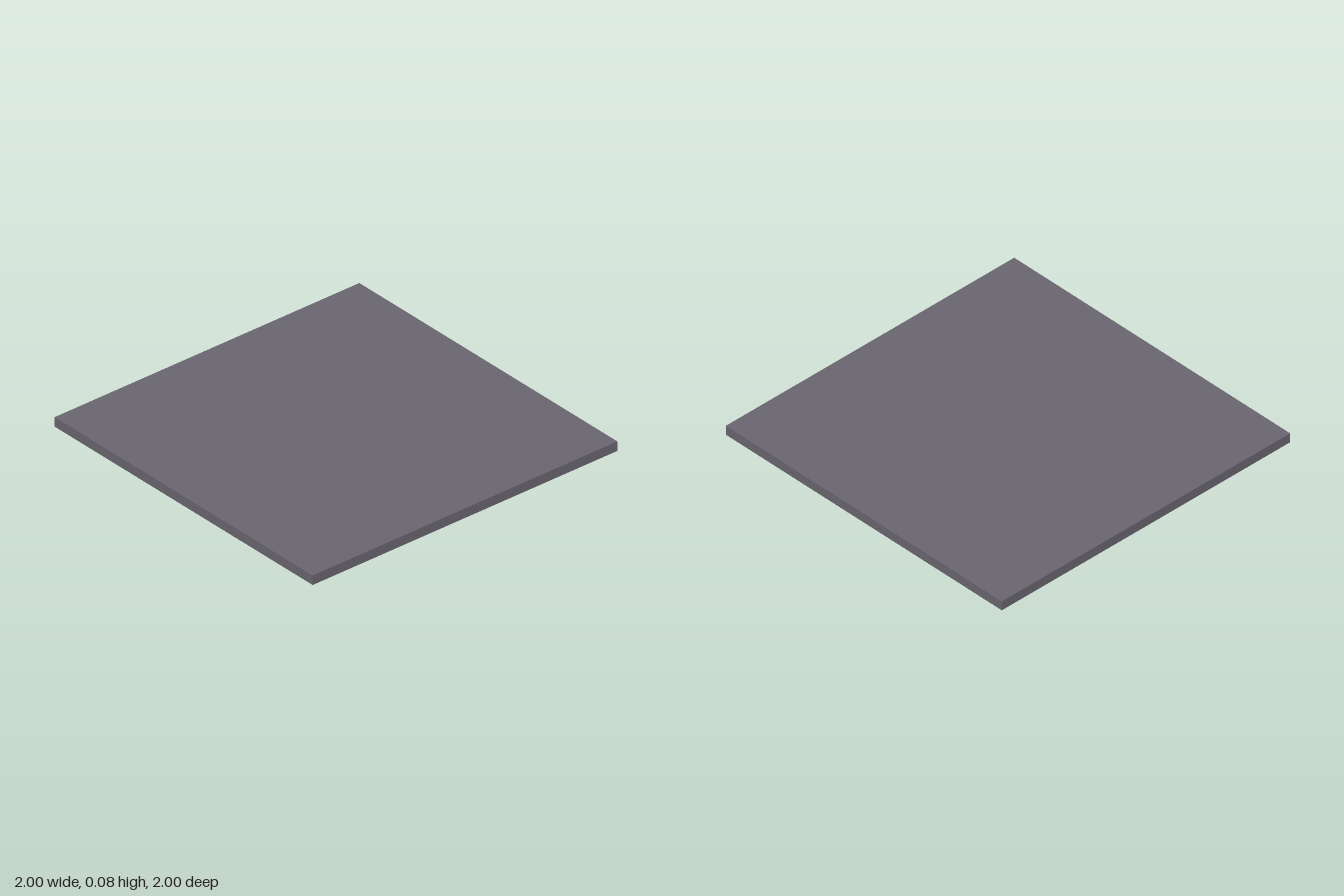
import * as THREE from 'three';

const slabMat = new THREE.MeshStandardMaterial({ color: 0x6b6771 });
const trimMat = new THREE.MeshStandardMaterial({ color: 0x5c5962 });
const lampMat = new THREE.MeshStandardMaterial({ color: 0xa9aba9 });
const BASE = 0.02; // underside of the slab

export function createModel() {
  const root = new THREE.Group();

  const add = (name, geo, mat, parent = root) => {
    const mesh = new THREE.Mesh(geo, mat);
    mesh.name = name;
    parent.add(mesh);
    return mesh;
  };

  // Box given by its extents
  const box = (name, x0, x1, y0, y1, z0, z1, mat, parent) => {
    const geo = new THREE.BoxGeometry(x1 - x0, y1 - y0, z1 - z0);
    geo.translate((x0 + x1) / 2, (y0 + y1) / 2, (z0 + z1) / 2);
    return add(name, geo, mat, parent);
  };

  // Rectangle outline with cut corners, in x and z
  const outline = (P, x0, x1, z0, z1, c = 0) => new P([
    [x0 + c, z0], [x1 - c, z0], [x1, z0 + c], [x1, z1 - c],
    [x1 - c, z1], [x0 + c, z1], [x0, z1 - c], [x0, z0 + c],
  ].map(p => new THREE.Vector2(...p)));

  // Sheet hanging down from the slab
  const sheet = (name, shape, depth, mat, parent) => {
    const geo = new THREE.ExtrudeGeometry(shape, { depth, bevelEnabled: false });
    geo.rotateX(Math.PI / 2).translate(0, BASE, 0);
    return add(name, geo, mat, parent);
  };

  // Lamp: rim with a recessed diffuser
  const lamp = (name, x0, x1, z0, z1, rim, depth, parent) => {
    const g = new THREE.Group();
    g.name = name;
    parent.add(g);
    const shape = outline(THREE.Shape, x0, x1, z0, z1, 0.012);
    shape.holes.push(outline(THREE.Path, x0 + rim, x1 - rim, z0 + rim, z1 - rim));
    sheet('lampRim', shape, depth, trimMat, g);
    box('diffuser', x0 + rim, x1 - rim, BASE - depth * 0.6, BASE, z0 + rim, z1 - rim, lampMat, g);
  };

  // Vent: five slats across x, in a row along z
  const vent = (name, x, z, parent) => {
    const g = new THREE.Group();
    g.name = name;
    parent.add(g);
    for (let i = -2; i <= 2; i++) {
      const zi = z + i * 0.088;
      box('slat', x - 0.075, x + 0.075, 0.004, BASE, zi - 0.014, zi + 0.014, lampMat, g);
    }
  };

  box('ceilingSlab', -1, 1, BASE, 0.076, -1, 1, slabMat);

  // Central light with a stepped frame
  const centre = new THREE.Group();
  centre.name = 'centralLight';
  root.add(centre);
  const step = outline(THREE.Shape, -0.32, 0.32, -0.61, 0.61, 0.03);
  step.holes.push(outline(THREE.Path, -0.25, 0.25, -0.55, 0.55));
  sheet('frameStep', step, 0.01, trimMat, centre);
  lamp('frameLight', -0.265, 0.265, -0.565, 0.565, 0.035, 0.02, centre);

  // Low ridges at the front and back of the central light
  for (const s of [-1, 1]) {
    const z = s * 0.66;
    if (s > 0) box('centreRidge', -0.2, 0.2, 0.014, BASE, z - 0.01, z + 0.01, trimMat);
  }

  // Left and right sides
  for (const sx of [-1, 1]) {
    const side = new THREE.Group();
    side.name = sx > 0 ? 'leftSide' : 'rightSide';
    root.add(side);
    const b = (name, x0, x1, y0, y1, z0, z1) =>
      box(name, Math.min(sx * x0, sx * x1), Math.max(sx * x0, sx * x1), y0, y1, z0, z1, trimMat, side);

    // Corner lamps in pairs
    for (const sz of [-1, 1]) {
      for (const [a, c] of [[0.365, 0.62], [0.635, 0.885]]) {
        const xs = [sx * a, sx * c].sort((p, q) => p - q);
        const zs = [sz * 0.55, sz * 0.965].sort((p, q) => p - q);
        lamp('cornerLamp', ...xs, ...zs, 0.03, 0.013, side);
      }
      // Small hatch and seam strips near the ends of the side plate
      b('hatch', 0.72, 0.82, 0.01, BASE, sz * 0.39 - 0.05, sz * 0.39 + 0.05);
      b('seamStrip', 0.42, 0.88, 0.011, BASE, sz * 0.48 - 0.008, sz * 0.48 + 0.008);
    }

    // Plate between the lamps, with seams and a vent
    const px = [sx * 0.37, sx * 0.9].sort((p, q) => p - q);
    sheet('sidePlate', outline(THREE.Shape, ...px, -0.51, 0.51, 0.05), 0.006, trimMat, side);
    b('plateSeam', 0.39, 0.405, 0.011, BASE, -0.4, 0.4);
    b('plateSeam', 0.83, 0.845, 0.011, BASE, -0.3, 0.3);
    vent('sideVent', sx * 0.61, 0.055, side);

    // Edge rail
    b('edgeRail', 0.93, 0.97, 0.015, BASE, -0.98, 0.98);
  }

  vent('backVent', 0, -0.78, root);
  // Mounting feet of the central frame reach the lowest level
  return root;
}
